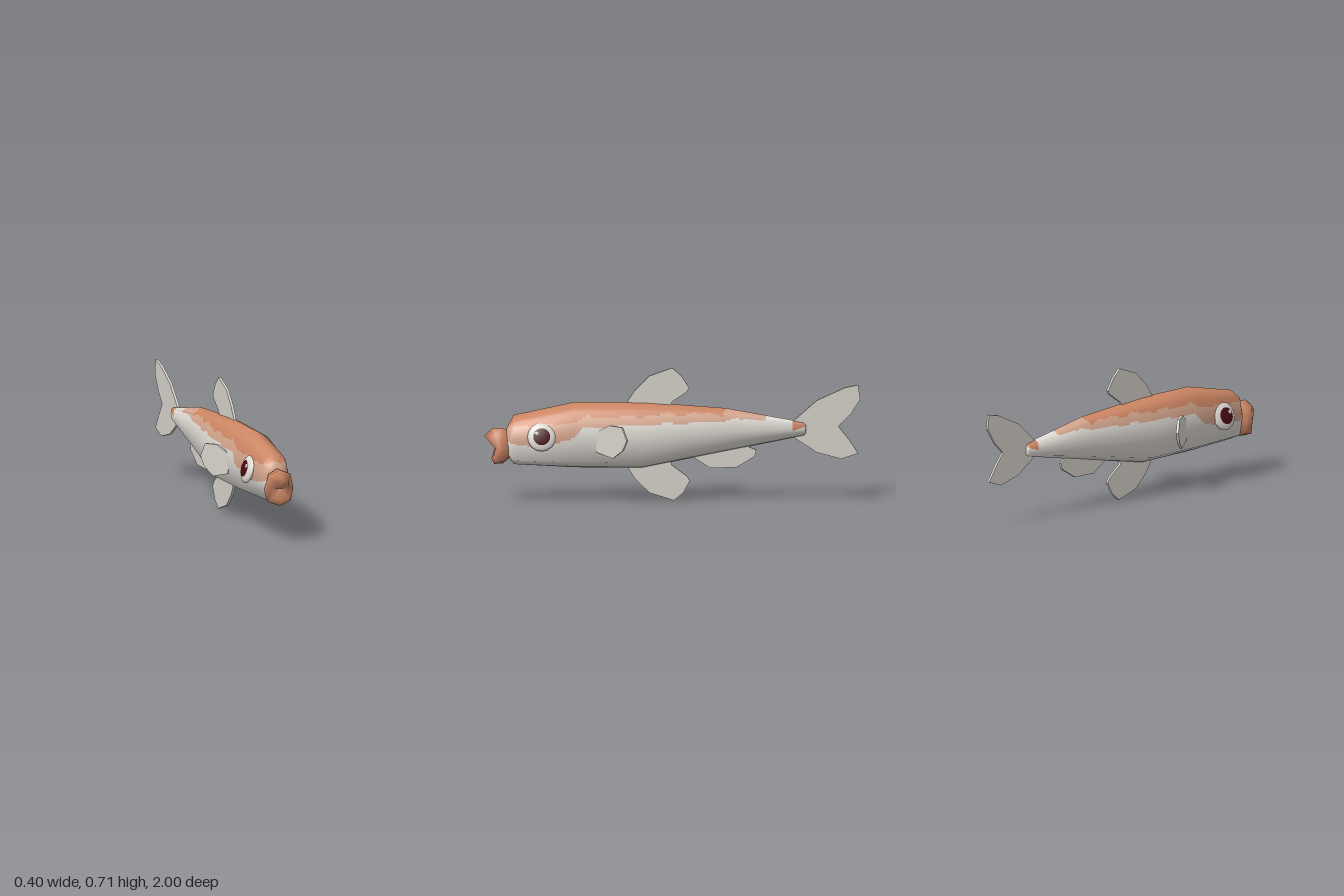
import * as THREE from 'three';

const mat = (name, color, side = THREE.FrontSide) => {
  const m = new THREE.MeshStandardMaterial({ color, side });
  m.name = name;
  return m;
};

// Piecewise linear lookup in [z, y] keys sorted by falling z
function lookup(keys, z) {
  for (let i = 1; i < keys.length; i++) {
    const [z0, y0] = keys[i - 1], [z1, y1] = keys[i];
    if (z >= z1) return y0 + (y1 - y0) * Math.min(1, Math.max(0, (z0 - z) / (z0 - z1)));
  }
  return keys[keys.length - 1][1];
}

// Half outline (top to bottom, +x side) mirrored into a closed ring of 8 points
const ringFrom = (half) => [...half, ...half.slice(1, -1).reverse().map(([x, y, z]) => [-x, y, z])];

// Smooth skin over rings listed front to back; each patch is subdivided and sorted by colour
function loft(rings, step, across, pick = () => 0, colours = 1) {
  const n = rings[0].length, coarse = new THREE.BufferGeometry(), index = [];
  coarse.setAttribute('position', new THREE.Float32BufferAttribute(rings.flat(2), 3));
  for (let i = 0; i < rings.length - 1; i++) for (let j = 0; j < n; j++) {
    const a = i * n + j, b = i * n + (j + 1) % n;
    index.push(a, b, a + n, b, b + n, a + n);
  }
  coarse.setIndex(index);
  coarse.computeVertexNormals();
  const read = (attr, k) => new THREE.Vector3().fromBufferAttribute(coarse.attributes[attr], k);
  const sample = (attr, i, j, u, v) => {
    const a = i * n + j, b = i * n + (j + 1) % n;
    return read(attr, a).lerp(read(attr, b), u).lerp(read(attr, a + n).lerp(read(attr, b + n), u), v);
  };
  const bins = Array.from({ length: colours }, () => ({ p: [], n: [] }));
  for (let i = 0; i < rings.length - 1; i++) {
    const along = Math.max(1, Math.ceil(Math.abs(rings[i][0][2] - rings[i + 1][0][2]) / step));
    for (let j = 0; j < n; j++) for (let r = 0; r < along; r++) for (let s = 0; s < across; s++) {
      const bin = bins[pick(sample('position', i, j, (s + 0.5) / across, (r + 0.5) / along))];
      for (const [du, dv] of [[0, 0], [1, 0], [0, 1], [1, 0], [1, 1], [0, 1]]) {
        const u = (s + du) / across, v = (r + dv) / along;
        bin.p.push(...sample('position', i, j, u, v).toArray());
        bin.n.push(...sample('normal', i, j, u, v).normalize().toArray());
      }
    }
  }
  const geo = new THREE.BufferGeometry();
  geo.setAttribute('position', new THREE.Float32BufferAttribute(bins.flatMap((b) => b.p), 3));
  geo.setAttribute('normal', new THREE.Float32BufferAttribute(bins.flatMap((b) => b.n), 3));
  let start = 0;
  bins.forEach((b, k) => { geo.addGroup(start, b.p.length / 3, k); start += b.p.length / 3; });
  return geo;
}

export function createModel() {
  const model = new THREE.Group();
  model.name = 'fish';
  const orange = mat('orange', 0xcb8563), pale = mat('paleOrange', 0xd3a48b);
  const white = mat('bellyWhite', 0xdedad3), finGrey = mat('finGrey', 0xd6d2ca);
  const iris = mat('darkRed', 0x4a0a10);
  const add = (parent, name, geo, material) => {
    const mesh = new THREE.Mesh(geo, material);
    mesh.name = name;
    parent.add(mesh);
    return mesh;
  };

  // Body: eight-sided sections [z, bottom, top, half width]
  const sections = [
    [0.882, 0.32, 0.32, 0], [0.88, 0.25, 0.39, 0.05], [0.84, 0.198, 0.463, 0.088],
    [0.515, 0.18, 0.532, 0.106], [0.16, 0.175, 0.53, 0.112], [-0.285, 0.263, 0.495, 0.067],
    [-0.7, 0.345, 0.418, 0.026], [-0.712, 0.355, 0.405, 0.018], [-0.713, 0.38, 0.38, 0],
  ];
  const rings = sections.map(([z, b, t, w]) => {
    const y = (f) => b + (t - b) * f;
    return ringFrom([[0, t, z], [0.78 * w, y(0.87), z], [w, y(0.5), z], [0.78 * w, y(0.11), z], [0, b, z]]);
  });

  // Lower edges of the back colour and of the paler band below it
  const darkEdge = [[0.9, 0.41], [0.55, 0.425], [0.45, 0.46], [0, 0.475], [-0.27, 0.47], [-0.31, 0.55]];
  const paleEdge = [[0.9, 0.32], [0.75, 0.31], [0.55, 0.34], [0.47, 0.4], [0.2, 0.42], [-0.2, 0.43],
    [-0.3, 0.44], [-0.5, 0.442], [-0.54, 0.55]];
  const pick = ({ x, y, z }) => {
    const wave = 0.006 * Math.sin(z * 31) + 0.004 * Math.sin(z * 57 + 1);
    if (z < -0.635) return y > 0.385 - (z + 0.67) * 0.3 ? 0 : 2;
    if (y > lookup(darkEdge, z) + wave) return 0;
    return y > lookup(paleEdge, z) + wave * 0.8 ? 1 : 2;
  };
  add(model, 'body', loft(rings, 0.012, 10, pick, 3), [orange, pale, white]);

  // Puckered mouth: inner hollow, lip ridge, outer rim, neck
  const mouth = [
    [[0, 0.29, 0.925], [0, 0.29, 0.925], [0, 0.29, 0.925], [0, 0.29, 0.925], [0, 0.29, 0.925]],
    [[0, 0.352, 1.0], [0.035, 0.335, 0.98], [0.05, 0.29, 0.94], [0.04, 0.245, 0.95], [0, 0.23, 0.96]],
    [[0, 0.393, 0.95], [0.062, 0.368, 0.935], [0.083, 0.29, 0.92], [0.065, 0.222, 0.93], [0, 0.2, 0.945]],
    [[0, 0.393, 0.9], [0.05, 0.365, 0.895], [0.066, 0.29, 0.89], [0.055, 0.222, 0.895], [0, 0.202, 0.9]],
    [[0, 0.375, 0.86], [0.04, 0.35, 0.86], [0.05, 0.3, 0.86], [0.04, 0.25, 0.86], [0, 0.235, 0.86]],
  ];
  add(model, 'mouth', loft(mouth.map(ringFrom), 1, 1), orange);

  // Flat fins: outline [along, y], extruded about its middle plane
  const fin = (name, outline, thick, turn) => {
    const shape = new THREE.Shape(outline.map(([a, y]) => new THREE.Vector2(a, y)));
    const geo = new THREE.ExtrudeGeometry(shape, { depth: thick, bevelEnabled: false });
    geo.translate(0, 0, -thick / 2);
    const mesh = add(model, name, geo, finGrey);
    mesh.rotation.y = turn;
    return mesh;
  };
  const middle = -Math.PI / 2;
  fin('dorsalFin', [[0.25, 0.49], [0.24, 0.53], [0.2, 0.59], [0.12, 0.67], [0, 0.713], [-0.05, 0.67],
    [-0.092, 0.605], [-0.08, 0.585], [0, 0.53], [0.02, 0.49]], 0.014, middle);
  fin('pelvicFin', [[0.23, 0.22], [0.235, 0.18], [0.2, 0.12], [0.12, 0.042], [-0.01, 0], [-0.06, 0.04],
    [-0.095, 0.105], [-0.08, 0.13], [0, 0.19], [0.02, 0.25]], 0.014, middle);
  fin('analFin', [[-0.08, 0.27], [-0.11, 0.235], [-0.2, 0.175], [-0.34, 0.175], [-0.44, 0.235],
    [-0.448, 0.27], [-0.4, 0.29], [-0.32, 0.31]], 0.014, middle);
  fin('tailFin', [[-0.62, 0.39], [-0.64, 0.42], [-0.77, 0.535], [-0.92, 0.603], [-0.99, 0.617], [-1, 0.54],
    [-0.95, 0.46], [-0.885, 0.395], [-0.94, 0.325], [-0.99, 0.25], [-0.9, 0.22], [-0.77, 0.255],
    [-0.65, 0.335]], 0.014, middle);

  for (const side of [1, -1]) {
    const label = side > 0 ? 'left' : 'right';
    // Side fins sweep back and outward
    const pectoral = fin(label + 'PectoralFin', [[-0.01, 0.38], [0.075, 0.425], [0.155, 0.42], [0.185, 0.35],
      [0.16, 0.295], [0.1, 0.25], [0, 0.275]], 0.014, side > 0 ? 1.02 : Math.PI - 1.02);
    pectoral.position.set(side * 0.095, 0, 0.4);

    // Eye: flattened ball whose local +y points outward and slightly up
    const eye = new THREE.Group();
    eye.name = label + 'Eye';
    eye.position.set(side * 0.092, 0.357, 0.695);
    eye.rotation.z = -side * (Math.PI / 2 - 0.26);
    const ball = add(eye, 'eyeball', new THREE.SphereGeometry(1, 16, 12), white);
    ball.scale.set(0.076, 0.024, 0.076);
    const disc = add(eye, 'iris', new THREE.SphereGeometry(1, 20, 5, 0, Math.PI * 2, 0, 0.62), iris);
    disc.scale.set(0.078, 0.0265, 0.078);
    const glint = add(eye, 'glint', new THREE.SphereGeometry(1, 10, 6), white);
    glint.scale.set(0.012, 0.003, 0.012);
    glint.position.set(-side * 0.018, 0.0245, 0.027);
    model.add(eye);
  }
  return model;
}
